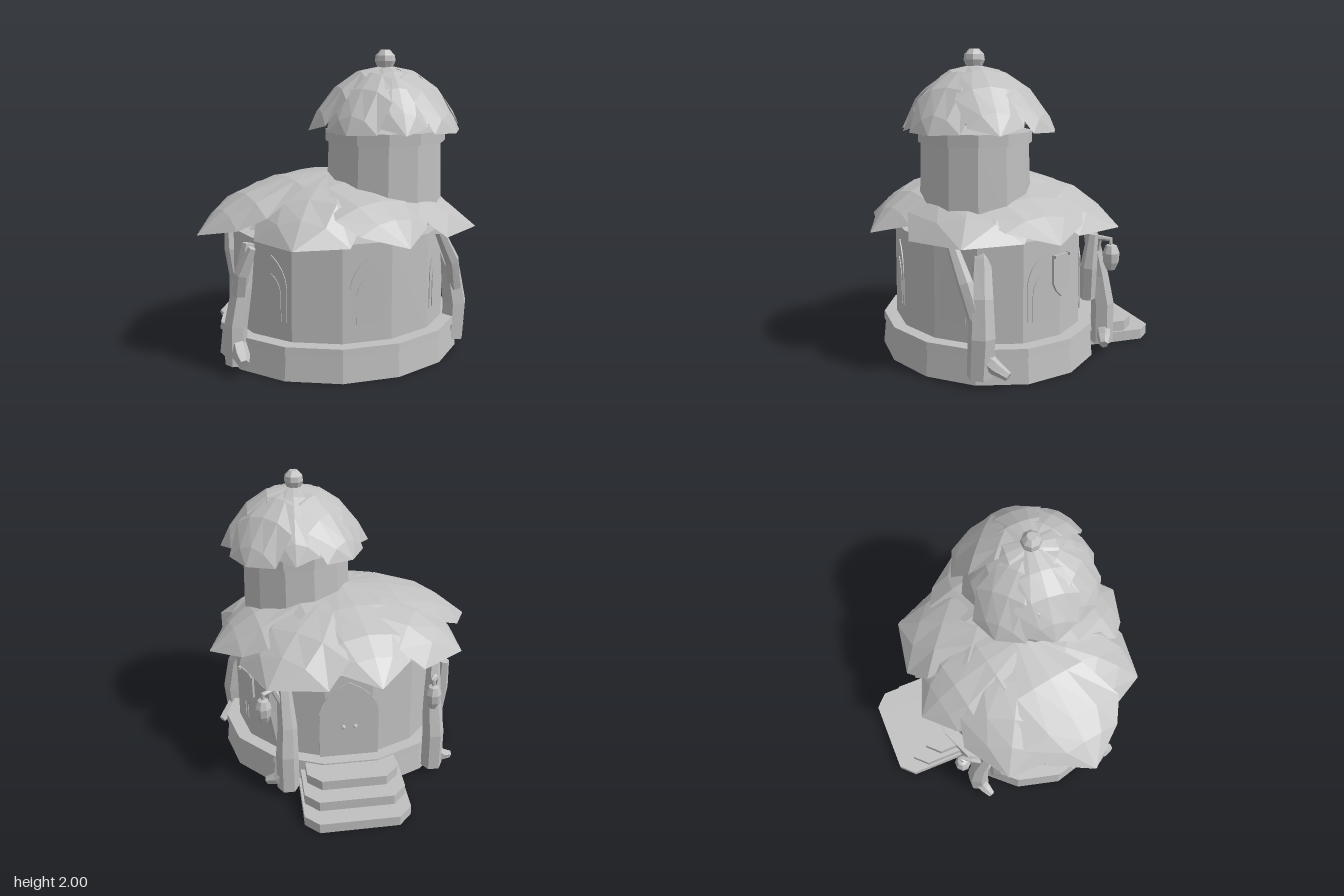
import * as THREE from 'three';

const stone = new THREE.MeshStandardMaterial({ color: 0xc0c0c0, flatShading: true, side: THREE.DoubleSide });
stone.name = 'lightGrey';

const RX = 0.72, RZ = 0.62, CX = 0.035, CZ = 0.137, SIDES = 14;

export function createModel() {
  const model = new THREE.Group();
  model.name = 'leafRoofedHouse';

  const add = (name, geometry, parent = model) => {
    const mesh = new THREE.Mesh(geometry, stone);
    mesh.name = name;
    parent.add(mesh);
    return mesh;
  };

  // Faceted round part from a [radius, y] profile, one flat side to the front
  const turned = (name, profile, sides, x, z, zScale = 1) => {
    const g = new THREE.LatheGeometry(profile.map(p => new THREE.Vector2(...p)), sides);
    g.rotateY(Math.PI / sides);
    g.scale(1, 1, zScale);
    g.translate(x, 0, z);
    return add(name, g);
  };

  // Surface from rows of points, each row with the same count
  const skin = (rows) => {
    const n = rows[0].length, index = [];
    for (let i = 0; i < rows.length - 1; i++)
      for (let j = 0; j < n - 1; j++) {
        const a = i * n + j, b = a + n;
        index.push(a, a + 1, b, a + 1, b + 1, b);
      }
    const g = new THREE.BufferGeometry();
    g.setAttribute('position', new THREE.Float32BufferAttribute(rows.flat(2), 3));
    g.setIndex(index);
    g.computeVertexNormals();
    return g;
  };

  // Six-sided tapering limb through points [x, y, z, radius]
  const limb = (name, path) => {
    const pts = path.map(p => new THREE.Vector3(p[0], p[1], p[2]));
    const rows = path.map((p, i) => {
      const dir = pts[Math.min(i + 1, pts.length - 1)].clone().sub(pts[Math.max(i - 1, 0)]).normalize();
      const side = new THREE.Vector3(0, 0, 1).cross(dir).normalize();
      const up = dir.clone().cross(side);
      const row = [];
      for (let k = 0; k <= 6; k++) {
        const a = k * Math.PI / 3;
        row.push(pts[i].clone().addScaledVector(side, Math.cos(a) * p[3]).addScaledVector(up, Math.sin(a) * p[3]).toArray());
      }
      return row;
    });
    const cap = p => Array.from({ length: 7 }, () => p.toArray());
    add(name, skin([cap(pts[0]), ...rows, cap(pts[pts.length - 1])]));
  };

  // Hollow foundation with a raised floor, wall, tower and its rim
  turned('foundation', [[0.83, 0], [0.81, 0.17], [0.825, 0.17], [0.82, 0.22], [0.7, 0.22]], SIDES, CX, CZ, 0.865);
  turned('floor', [[0, 0.17], [0.812, 0.17]], SIDES, CX, CZ, 0.865);
  turned('wall', [[RX + 0.005, 0.2], [RX, 0.85], [0, 0.85]], SIDES, CX, CZ, RZ / RX);
  turned('tower', [[0, 0.95], [0.385, 0.95], [0.37, 1.43]], 12, 0.3, 0.3, 0.92);
  turned('towerRim', [[0.37, 1.42], [0.397, 1.42], [0.397, 1.495], [0.37, 1.495], [0, 1.495]], 12, 0.305, 0.3, 0.9);

  // Leaf roofs: each leaf follows a dome profile, droops at its sides and ends in a point
  const dome = (profile, t) => {
    for (let i = 1; i < profile.length; i++) {
      const [t0, y0] = profile[i - 1], [t1, y1] = profile[i];
      if (t <= t1 || i === profile.length - 1) return y0 + (y1 - y0) * (t - t0) / (t1 - t0);
    }
  };
  const leafRoof = (name, cx, cz, profile, droops, leaves, tips) => {
    tips.forEach(([tx, tz], i) => {
      const R = Math.hypot(tx, tz), dx = tx / R, dz = tz / R, layer = i % 2;
      const rows = [[0, 0.06], [0.35, 0.27], ...leaves[layer], [1, 0.005]].map(([u, w]) =>
        [-1, -0.5, 0, 0.5, 1].map(s => {
          const d = u * R, e = s * w * R;
          const sag = u < 1 ? droops[layer] * s * s * u ** 3 : 0;
          const lift = layer ? 0 : 0.014 * (1 - u);
          const y = dome(profile, Math.min(1, Math.hypot(d, e) / R)) - sag + lift;
          return [cx + dx * d - dz * e, y, cz + dz * d + dx * e];
        }));
      add(name, skin(rows));
    });
  };
  // Upper and lower leaf layers alternate around each roof
  leafRoof('mainRoofLeaf', 0, 0.145, [[0, 1.21], [0.3, 1.19], [0.65, 1.1], [0.85, 0.985], [1, 0.86]],
    [0.08, 0.17], [[[0.66, 0.4], [0.82, 0.29]], [[0.62, 0.42], [0.81, 0.37]]],
    [[-0.94, 0.145], [-0.77, -0.425], [-0.15, -0.82], [0.57, -0.735],
      [0.93, -0.175], [0.85, 0.405], [0.22, 0.82], [-0.46, 0.69]]);
  leafRoof('towerRoofLeaf', 0.3, 0.3, [[0, 1.89], [0.35, 1.86], [0.7, 1.74], [0.87, 1.62], [1, 1.495]],
    [0.05, 0.06], [[[0.62, 0.42], [0.86, 0.34]], [[0.62, 0.42], [0.88, 0.36]]],
    [[-0.51, -0.03], [-0.35, -0.38], [0.03, -0.455], [0.35, -0.4],
      [0.51, 0], [0.33, 0.38], [-0.03, 0.455], [-0.37, 0.33]]);
  turned('finial', [[0, 1.87], [0.045, 1.88], [0.067, 1.93], [0.062, 1.965], [0.03, 2], [0, 2]], 8, 0.295, 0.3);

  // Short rafters between wall and roof
  for (const a of [0.5, 1.6, 2.6, 3.8, 4.8, 5.8]) {
    const s = Math.sin(a), c = Math.cos(a);
    limb('rafter', [[CX + s * 0.6, 0.83, CZ + c * 0.5, 0.035], [CX + s * 0.45, 0.97, CZ + c * 0.38, 0.03]]);
  }

  // Group lying on the wall at face k, counted from the front; half steps sit on a corner
  const onWall = (name, k) => {
    const a = k * 2 * Math.PI / SIDES, ap = k % 1 ? 1 : Math.cos(Math.PI / SIDES);
    const group = new THREE.Group();
    group.name = name;
    group.position.set(CX + RX * ap * Math.sin(a), 0, CZ + RZ * ap * Math.cos(a));
    group.rotation.y = Math.atan2(Math.sin(a) / RX, Math.cos(a) / RZ);
    model.add(group);
    return group;
  };
  const plate = (name, shape, z, depth, parent) => {
    const g = new THREE.ExtrudeGeometry(shape, { depth, bevelEnabled: false, curveSegments: 4 });
    add(name, g.translate(0, 0, z), parent);
  };
  const arch = (w, y0, spring, top) => {
    const s = new THREE.Shape();
    s.moveTo(-w, y0);
    s.lineTo(w, y0);
    s.lineTo(w, spring);
    s.quadraticCurveTo(w * 0.9, (spring + top) / 2 + 0.02, 0, top);
    s.quadraticCurveTo(-w * 0.9, (spring + top) / 2 + 0.02, -w, spring);
    return s;
  };

  // Pointed windows
  for (const k of [0, 2, 4, -2, -4]) {
    const win = onWall('window', k);
    plate('windowFrame', arch(0.113, 0.34, 0.57, 0.76), 0, 0.008, win);
    plate('windowPane', arch(0.073, 0.34, 0.52, 0.645), 0.006, 0.007, win);
  }

  // Double door with two knobs
  const door = onWall('door', 7);
  plate('doorPanel', arch(0.2, 0.21, 0.58, 0.8), 0, 0.009, door);
  for (const x of [-0.04, 0.04])
    add('doorKnob', new THREE.IcosahedronGeometry(0.018, 0).translate(x, 0.46, 0.02), door);

  // Hanging shield sign
  const sign = onWall('sign', 4.5);
  const shield = new THREE.Shape([[-0.08, 0.745], [-0.08, 0.57], [-0.05, 0.52], [0, 0.475], [0.05, 0.52], [0.08, 0.57], [0.08, 0.745]]
    .map(p => new THREE.Vector2(...p)));
  plate('signBoard', shield, 0.002, 0.015, sign);
  for (const x of [-0.07, 0.07])
    add('signPeg', new THREE.BoxGeometry(0.02, 0.02, 0.03).translate(x, 0.74, 0.015), sign);

  // Three chamfered steps at the back, open underneath
  [[0.35, 0.97, 0.07], [0.335, 0.845, 0.14], [0.305, 0.725, 0.21]].forEach(([w, z, h]) => {
    const c = 0.09, back = 0.36;
    const outline = [[-w, back], [w, back], [w, z - c], [w - c, z], [c - w, z], [-w, z - c], [-w, back]];
    const at = y => outline.map(([px, pz]) => [CX + px, y, -pz]);
    add('step', skin([at(h - 0.07), at(h), outline.map(() => [CX, h, -(z + back) / 2])]));
  });

  // Front trunks with forked tops and root stubs
  limb('frontRightTrunk', [[-0.74, 0.05, 0.46, 0.07], [-0.735, 0.3, 0.45, 0.075], [-0.69, 0.55, 0.44, 0.065], [-0.64, 0.82, 0.42, 0.04]]);
  limb('frontRightBranch', [[-0.71, 0.48, 0.45, 0.05], [-0.7, 0.65, 0.5, 0.05], [-0.64, 0.82, 0.54, 0.025]]);
  limb('frontRightRoot', [[-0.73, 0.2, 0.47, 0.05], [-0.72, 0.13, 0.54, 0.055], [-0.715, 0.1, 0.6, 0.035]]);
  limb('frontLeftTrunk', [[0.77, 0.05, 0.42, 0.08], [0.785, 0.3, 0.41, 0.085], [0.75, 0.52, 0.4, 0.075], [0.66, 0.74, 0.37, 0.06], [0.58, 0.88, 0.36, 0.04]]);
  limb('frontLeftBranch', [[0.77, 0.42, 0.44, 0.05], [0.72, 0.62, 0.49, 0.05], [0.6, 0.84, 0.54, 0.035]]);
  limb('frontLeftRoot', [[0.78, 0.18, 0.4, 0.05], [0.84, 0.12, 0.34, 0.045], [0.9, 0.08, 0.28, 0.028]]);

  // Back trunks, each with a branch, a root stub and a hanging lantern
  for (const [side, x, z, lx] of [['backRight', -0.56, -0.44, -0.52], ['backLeft', 0.46, -0.54, 0.6]]) {
    const out = Math.sign(x);
    limb(side + 'Trunk', [[x, 0.05, z, 0.075], [x, 0.32, z, 0.075], [x - out * 0.01, 0.52, z + 0.03, 0.065], [x, 0.82, z + 0.1, 0.045]]);
    limb(side + 'Branch', [[x + out * 0.04, 0.38, z + 0.13, 0.05], [x + out * 0.07, 0.6, z + 0.14, 0.055], [x + out * 0.08, 0.82, z + 0.12, 0.035]]);
    limb(side + 'Root', [[x, 0.18, z, 0.05], [x + out * 0.07, 0.11, z + 0.02, 0.045], [x + out * 0.14, 0.08, z + 0.05, 0.028]]);
    limb(side + 'LanternArm', [[x, 0.66, z + 0.06, 0.028], [(x + lx) / 2, 0.79, -0.47, 0.022], [lx, 0.79, -0.52, 0.016], [lx, 0.73, -0.525, 0.012]]);
    turned('lantern', [[0, 0.58], [0.028, 0.59], [0.05, 0.64], [0.055, 0.7], [0.035, 0.75], [0, 0.76]], 8, lx, -0.525);
  }

  return model;
}
